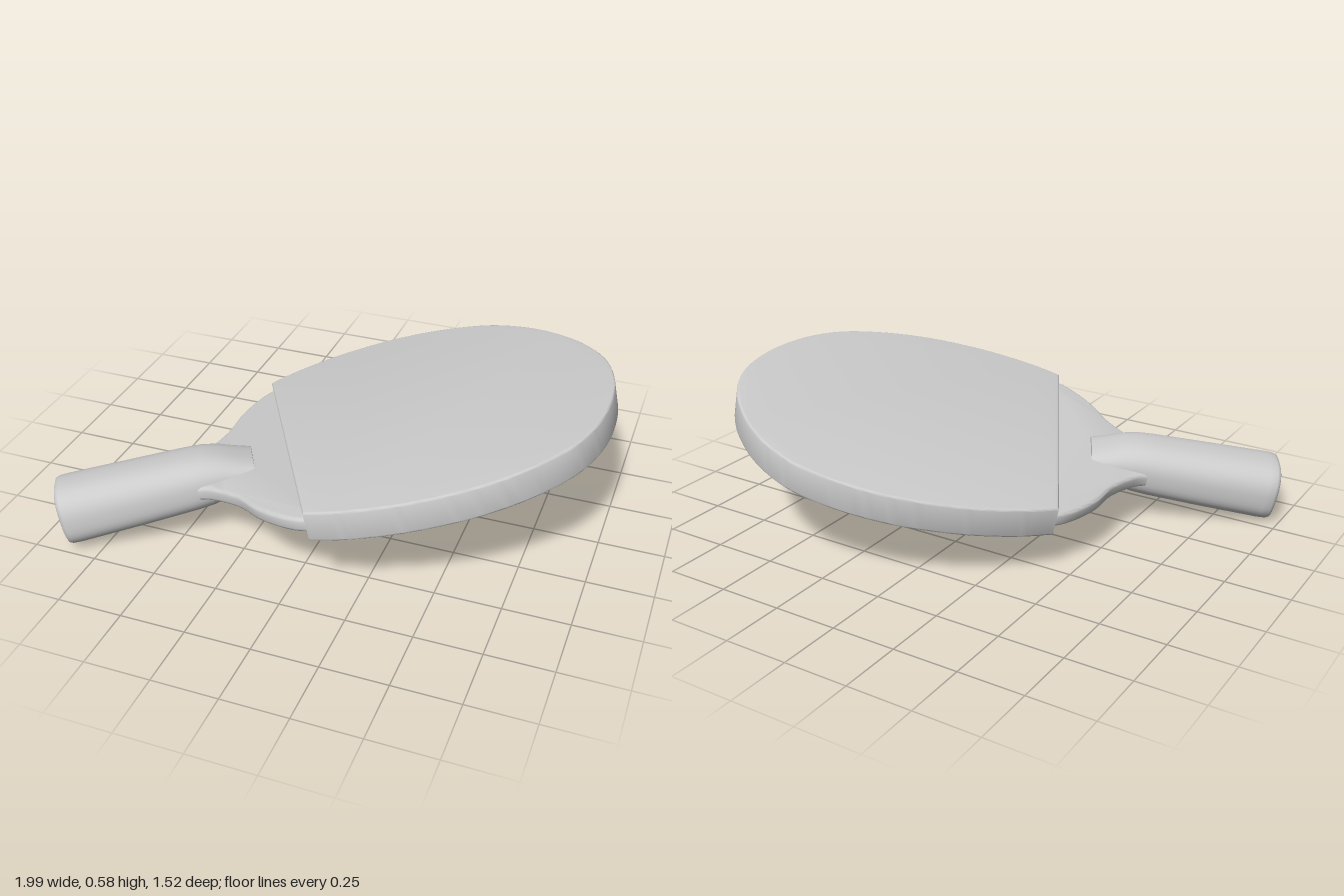
import * as THREE from 'three';
import { toCreasedNormals } from 'three/addons/utils/BufferGeometryUtils.js';

const grey = new THREE.MeshStandardMaterial({ color: 0xcccccc });

// Slab lying flat (x along the paddle, z across), mirrored from a half outline of [x, half width]
function slab(half, steps, thickness, bevel) {
  const pts = half.map(([x, w]) => new THREE.Vector2(x, w));
  // A ghost point on the far side keeps the tangent square where the outline meets the axis
  const closed = half.at(-1)[1] === 0;
  if (closed) pts.push(new THREE.Vector2(half.at(-2)[0], -half.at(-2)[1]));
  let curve = new THREE.SplineCurve(pts).getPoints(steps * (pts.length - 1));
  if (closed) curve = curve.slice(0, -steps);
  const back = curve.slice(0, closed ? -1 : undefined).reverse().map(p => new THREE.Vector2(p.x, -p.y));
  const geo = new THREE.ExtrudeGeometry(new THREE.Shape([...curve, ...back]), {
    depth: thickness - 2 * bevel, bevelEnabled: true, bevelThickness: bevel,
    bevelSize: bevel, bevelOffset: -bevel, bevelSegments: 3,
  });
  geo.rotateX(Math.PI / 2).translate(0, thickness / 2 - bevel, 0);
  return toCreasedNormals(geo, 0.7);
}

// Loft of superellipse sections: [x, half width, top, bottom]
function loft(stations, sides, power) {
  const pos = [], idx = [];
  const bend = c => Math.sign(c) * Math.abs(c) ** (2 / power);
  for (const [x, w, top, bottom] of stations) {
    for (let i = 0; i < sides; i++) {
      const t = (i / sides) * Math.PI * 2, s = bend(Math.sin(t));
      pos.push(x, s * (s > 0 ? top : bottom), bend(Math.cos(t)) * w);
    }
  }
  const last = stations.length - 1;
  for (let r = 0; r < last; r++) {
    for (let i = 0; i < sides; i++) {
      const a = r * sides + i, b = r * sides + (i + 1) % sides;
      idx.push(a, a + sides, b, b, a + sides, b + sides);
    }
  }
  // End caps
  for (const r of [0, last]) {
    const c = pos.length / 3;
    pos.push(stations[r][0], (stations[r][2] - stations[r][3]) / 2, 0);
    for (let i = 0; i < sides; i++) {
      const a = r * sides + i, b = r * sides + (i + 1) % sides;
      if (r) idx.push(c, b, a); else idx.push(c, a, b);
    }
  }
  const geo = new THREE.BufferGeometry();
  geo.setAttribute('position', new THREE.Float32BufferAttribute(pos, 3));
  geo.setIndex(idx);
  return toCreasedNormals(geo, 0.9);
}

export function createModel() {
  const paddle = new THREE.Group();
  paddle.name = 'paddle';
  const add = (name, geo) => {
    const mesh = new THREE.Mesh(geo, grey);
    mesh.name = name;
    paddle.add(mesh);
  };

  // Thick round face with a straight edge towards the handle
  add('rubberFace', slab([
    [-0.265, 0.553], [-0.15, 0.605], [0, 0.65], [0.15, 0.674], [0.32, 0.68], [0.5, 0.653],
    [0.675, 0.589], [0.8, 0.493], [0.9, 0.363], [0.98, 0.19], [1.012, 0],
  ], 6, 0.118, 0.008));

  // Thinner core flaring out of the handle
  add('throat', slab([
    [-0.72, 0.11], [-0.65, 0.126], [-0.58, 0.162], [-0.485, 0.265], [-0.42, 0.386],
    [-0.34, 0.487], [-0.265, 0.545], [-0.18, 0.56],
  ], 6, 0.056, 0.015));

  // Oval grip, tapering down onto the throat
  add('handle', loft([
    [-1.147, 0.118, 0.117, 0.088], [-1.142, 0.131, 0.127, 0.1], [-1.13, 0.138, 0.131, 0.104],
    [-1.1, 0.14, 0.131, 0.106], [-0.85, 0.139, 0.121, 0.104], [-0.65, 0.136, 0.113, 0.1],
    [-0.58, 0.132, 0.108, 0.096], [-0.52, 0.126, 0.093, 0.081], [-0.46, 0.118, 0.066, 0.062],
    [-0.4, 0.11, 0.042, 0.045],
  ], 48, 2.6));

  // Swing the paddle round, then tilt the blade upwards
  paddle.rotation.y = 0.517;
  paddle.position.set(0.0445, 0, 0.078);
  const tilt = new THREE.Group();
  tilt.name = 'tiltedPaddle';
  tilt.rotation.z = 0.217;
  tilt.add(paddle);

  // Centre on the ground
  const model = new THREE.Group();
  model.name = 'tableTennisPaddle';
  model.add(tilt);
  model.updateMatrixWorld(true);
  const box = new THREE.Box3().setFromObject(model, true);
  const c = box.getCenter(new THREE.Vector3());
  tilt.position.set(-c.x, -box.min.y, -c.z);
  return model;
}
